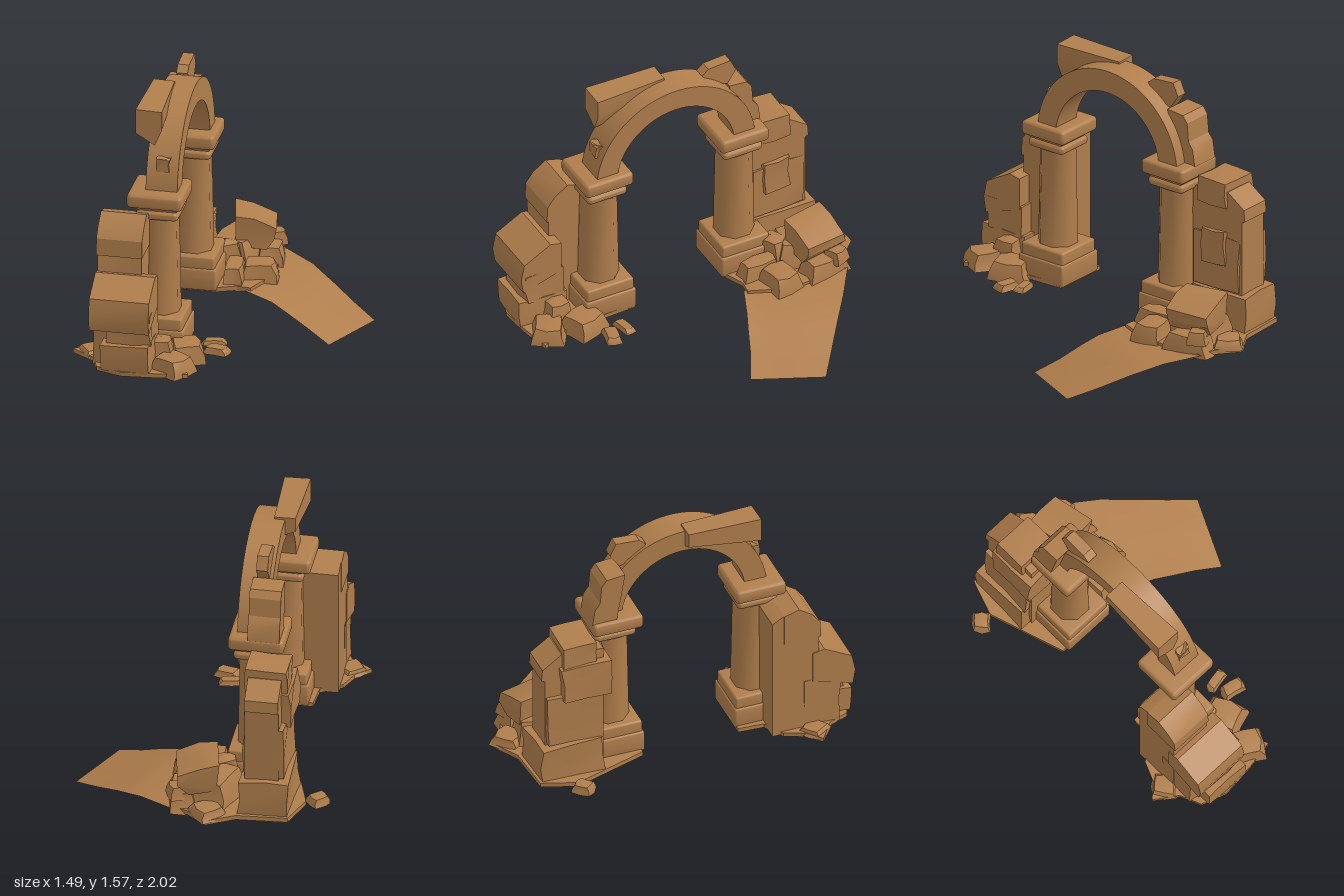
import * as THREE from 'three';
import { toCreasedNormals } from 'three/addons/utils/BufferGeometryUtils.js';
import { RoundedBoxGeometry } from 'three/addons/geometries/RoundedBoxGeometry.js';

const stone = new THREE.MeshStandardMaterial({ color: 0xb07e4c, side: THREE.DoubleSide });
stone.name = 'sandstone';

// repeatable offset in -1..1 from a position
const noise = (x, y, z, k) => {
  const s = Math.sin(x * 127.1 + y * 311.7 + z * 74.7 + k * 53.3) * 43758.5453;
  return 2 * (s - Math.floor(s)) - 1;
};

// move every vertex by a rule of its position, keeping shared corners together
function moveVertices(geo, rule) {
  const p = geo.attributes.position;
  for (let i = 0; i < p.count; i++) {
    const at = [p.getX(i), p.getY(i), p.getZ(i)].map(v => Math.round(v * 1000) / 1000 + 0);
    p.setXYZ(i, ...rule(...at));
  }
  return geo;
}
const roughen = (geo, amount) => moveVertices(geo, (x, y, z) => [
  x + amount * noise(x, y, z, 1), y + amount * noise(x, y, z, 2), z + amount * noise(x, y, z, 3)]);

export function createModel() {
  const root = new THREE.Group();
  root.name = 'ruinedArch';

  const add = (name, geo, x = 0, y = 0, z = 0, crease = 0.5) => {
    const mesh = new THREE.Mesh(toCreasedNormals(geo, crease), stone);
    mesh.name = name;
    mesh.position.set(x, y, z);
    root.add(mesh);
    return mesh;
  };

  // worn block given by its extents on each axis
  const block = (name, [x0, x1], [y0, y1], [z0, z1], rough = 0.01) => {
    const geo = roughen(new THREE.BoxGeometry(x1 - x0, y1 - y0, z1 - z0, 2, 2, 2), rough);
    add(name, geo, (x0 + x1) / 2, (y0 + y1) / 2, (z0 + z1) / 2);
  };

  const toShape = pts => new THREE.Shape(pts.map(p => new THREE.Vector2(...p)));
  const extrude = (shape, depth) =>
    new THREE.ExtrudeGeometry(shape, { depth, bevelEnabled: false, curveSegments: 28 });
  // side profile of (z, y) points, running from x0 to x1
  const sideProfile = (name, shape, x0, x1) => add(name, extrude(shape, x1 - x0).rotateY(-Math.PI / 2), x1);
  // plan of (x, z) points, running from y0 to y1
  const slab = (name, pts, y0, y1) =>
    add(name, extrude(toShape(pts.map(([x, z]) => [x, -z])), y1 - y0).rotateX(-Math.PI / 2), 0, y0);

  // irregular boulder: a block narrowing upward, with its corners pulled in a little
  const rock = (name, [x, y, z], [sx, sy, sz], ry = 0) => {
    const geo = roughen(new THREE.BoxGeometry(1, 1, 1, 2, 2, 2), 0.08);
    moveVertices(geo, (px, py, pz) => {
      const k = 1.06 - 0.28 * (px * px + py * py + pz * pz - 0.25);
      const taper = k * (1 - 0.3 * py);
      return [px * taper * sx, py * k * sy, pz * taper * sz];
    });
    add(name, geo, x, y, z, 0.6).rotation.y = ry;
  };

  // columns with plinths, neck rings and capitals
  for (const [side, z] of [['front', 0.48], ['back', -0.375]]) {
    const x = -0.285;
    add(side + 'LowerPlinth', new RoundedBoxGeometry(0.32, 0.13, 0.315, 2, 0.012), x, 0.245, z);
    add(side + 'UpperPlinth', new RoundedBoxGeometry(0.295, 0.1, 0.295, 2, 0.012), x, 0.33, z);
    add(side + 'Shaft', new THREE.CylinderGeometry(0.104, 0.116, 0.62, 8).rotateY(Math.PI / 8), x, 0.67, z, 0.9);
    add(side + 'NeckRing', new RoundedBoxGeometry(0.245, 0.055, 0.25, 4, 0.027), x, 0.985, z, 0.9);
    add(side + 'CapitalUnderside', new THREE.CylinderGeometry(0.2, 0.15, 0.04, 4).rotateY(Math.PI / 4), x, 1.03, z);
    add(side + 'Capital', new RoundedBoxGeometry(0.315, 0.085, 0.3, 3, 0.022), x - 0.01, 1.075, z, 0.9);
  }

  // round arch
  const ring = new THREE.Shape();
  ring.absarc(0.045, 1.06, 0.5, 0, Math.PI, false);
  ring.absarc(0.045, 1.06, 0.37, Math.PI, 0, true);
  sideProfile('arch', ring, -0.36, -0.18);

  // broken lintel stone on the arch: its underside rises toward the crown
  const lintel = extrude(toShape([[-0.43, 1.575], [-0.28, 1.57], [-0.28, 1.46], [-0.32, 1.365], [-0.43, 1.43]]), 0.43);
  moveVertices(lintel, (x, y, z) => (z > 0.2 ? [x, y, z] : [x * 0.8 - 0.075, 1.575 + (y - 1.575) * 0.6, z]));
  add('archTopStone', lintel, 0, 0, 0.055);

  // stones left on the arch
  sideProfile('archCrownChip', toShape([[-0.17, 1.52], [-0.21, 1.555], [-0.35, 1.565], [-0.385, 1.49], [-0.33, 1.41], [-0.24, 1.44]]), -0.34, -0.275);
  sideProfile('archShoulderStone', toShape([[-0.33, 1.41], [-0.44, 1.4], [-0.47, 1.36], [-0.48, 1.25], [-0.51, 1.21], [-0.525, 1.11], [-0.38, 1.11]]), -0.43, -0.25);
  block('archFrontChip', [-0.3, -0.23], [1.22, 1.3], [0.47, 0.525], 0.008);

  // front broken wall
  sideProfile('frontWall', toShape([[0.49, 0.18], [0.76, 0.18], [0.77, 0.88], [0.735, 0.95], [0.64, 1.01], [0.56, 0.99], [0.49, 0.95]]), -0.585, -0.335);
  sideProfile('frontWallCap', toShape([[0.56, 0.8], [0.78, 0.8], [0.775, 0.9], [0.73, 0.96], [0.65, 1.015], [0.56, 0.99]]), -0.59, -0.33);
  sideProfile('frontWallLedge', toShape([[0.73, 0.5], [0.97, 0.425], [0.985, 0.515], [0.965, 0.615], [0.8, 0.705], [0.73, 0.69]]), -0.59, -0.25);
  block('frontWallMiddle', [-0.5, -0.25], [0.34, 0.52], [0.71, 0.95], 0.01);
  block('frontWallFoot', [-0.525, -0.245], [0.19, 0.35], [0.7, 0.99], 0.01);
  block('frontWallSideFoot', [-0.58, -0.42], [0.19, 0.51], [0.68, 0.9], 0.01);

  // back broken wall
  sideProfile('backWall', toShape([[-0.48, 0.18], [-0.83, 0.18], [-0.83, 0.84], [-0.85, 0.85], [-0.845, 0.92], [-0.73, 1.0], [-0.48, 0.98]]), -0.48, -0.29);
  block('backWallCap', [-0.51, -0.27], [0.9, 1.05], [-0.725, -0.53], 0.006);
  block('backWallUpper', [-0.53, -0.3], [0.7, 0.92], [-0.74, -0.45]);
  block('backWallMiddle', [-0.51, -0.28], [0.4, 0.72], [-0.82, -0.5]);
  block('backWallInset', [-0.34, -0.265], [0.55, 0.75], [-0.72, -0.56]);
  block('backWallFoot', [-0.54, -0.26], [0.18, 0.4], [-0.87, -0.5]);

  // ground under each side
  slab('frontGround', [[-0.47, 0.33], [-0.13, 0.33], [-0.12, 0.55], [-0.02, 0.65], [-0.1, 0.78], [-0.03, 0.95], [-0.2, 0.98],
    [-0.4, 1.0], [-0.55, 0.95], [-0.6, 0.83], [-0.73, 0.74], [-0.65, 0.67], [-0.6, 0.55], [-0.48, 0.48]], 0.175, 0.2);
  slab('backGround', [[-0.47, -0.24], [-0.14, -0.24], [-0.02, -0.29], [0.06, -0.28], [0.15, -0.5], [0.13, -0.86], [0.02, -0.9],
    [-0.09, -0.99], [-0.25, -0.9], [-0.54, -0.88], [-0.61, -0.68]], 0.168, 0.195);

  // sloping sheet of ground: matching points along its far and near edges
  const far = [[0.12, 0.19, -0.88], [0.31, 0.165, -0.75], [0.46, 0.112, -0.63], [0.6, 0.055, -0.52], [0.74, 0.006, -0.41]];
  const near = [[0.03, 0.18, -0.27], [0.2, 0.155, -0.2], [0.3, 0.115, -0.155], [0.42, 0.062, -0.105], [0.56, 0.004, -0.03]];
  const ramp = new THREE.PlaneGeometry(1, 1, 4, 4);
  for (let j = 0; j <= 4; j++) for (let i = 0; i <= 4; i++) {
    const p = new THREE.Vector3(...far[i]).lerp(new THREE.Vector3(...near[i]), j / 4);
    const bump = i > 0 && i < 4 && j > 0 && j < 4 ? 0.01 * noise(i, j, 0, 4) : 0;
    ramp.attributes.position.setXYZ(j * 5 + i, p.x, p.y + bump, p.z);
  }
  add('ramp', ramp, 0, 0, 0, 1.2);

  // large fallen stone by the back wall, sloping down outward
  const boulder = extrude(toShape([[-0.17, 0.465], [-0.07, 0.46], [0.045, 0.405], [0.05, 0.34], [0.0, 0.28], [-0.17, 0.3]]), 0.25);
  add('fallenBlock', roughen(boulder, 0.012), 0.03, 0, -0.87).rotation.y = 0.2;

  // fallen rubble by the back wall
  rock('rubble', [-0.1, 0.25, -0.7], [0.22, 0.18, 0.3], -0.2);
  rock('rubble', [-0.09, 0.21, -0.89], [0.15, 0.06, 0.15], 0.75);
  rock('rubble', [0.075, 0.22, -0.75], [0.13, 0.12, 0.25], 0.2);
  rock('rubble', [0.09, 0.28, -0.82], [0.1, 0.08, 0.1], 0.5);
  rock('rubble', [0.07, 0.22, -0.48], [0.18, 0.11, 0.16], 0.2);
  rock('rubble', [-0.06, 0.22, -0.41], [0.1, 0.13, 0.22], 0.1);
  rock('rubble', [-0.13, 0.26, -0.54], [0.13, 0.18, 0.12], 0.5);
  rock('looseStone', [-0.68, 0.213, -0.675], [0.1, 0.05, 0.09], 0.8);

  // fallen rubble by the front wall
  rock('rubble', [-0.1, 0.22, 0.67], [0.17, 0.11, 0.2], 0.4);
  rock('rubble', [-0.13, 0.22, 0.88], [0.17, 0.1, 0.17], -0.5);
  rock('rubble', [-0.21, 0.27, 0.78], [0.1, 0.12, 0.13], 0.1);
  rock('rubble', [-0.62, 0.2, 0.73], [0.12, 0.04, 0.13], 0.7);
  rock('looseStone', [0.02, 0.2, 0.48], [0.12, 0.03, 0.06], 0.2);
  rock('looseStone', [0.055, 0.195, 0.575], [0.12, 0.04, 0.08], -0.2);

  return root;
}
